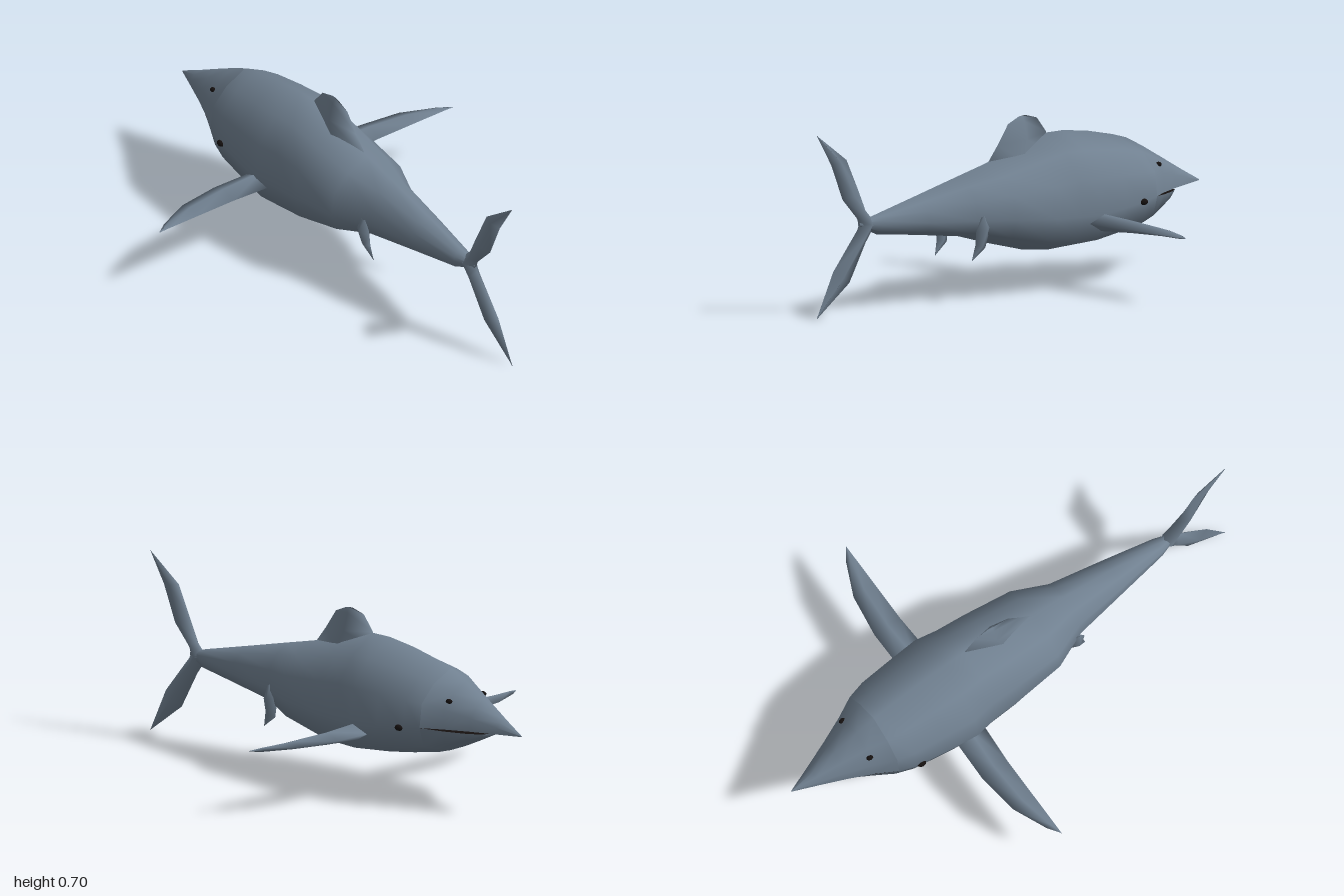
import * as THREE from 'three';

const skin = new THREE.MeshStandardMaterial({ color: 0x708090, side: THREE.DoubleSide });
skin.name = 'slate skin';
const dark = new THREE.MeshStandardMaterial({ color: 0x15100f, side: THREE.DoubleSide });
dark.name = 'dark mouth and eyes';

// Skins a list of cross-sections; faces are turned outward as seen from the first section.
function loft(name, sections, material, closed = true) {
  const n = sections[0].length, span = closed ? n : n - 1;
  const index = [];
  for (let i = 0; i < sections.length - 1; i++) {
    for (let j = 0; j < span; j++) {
      const k = (j + 1) % n;
      const a = i * n + j, b = i * n + k, c = b + n, d = a + n;
      index.push(a, b, c, a, c, d);
    }
  }
  const points = sections.flat().map((p) => new THREE.Vector3(...p));
  const ref = new THREE.Vector3();
  points.slice(0, n).forEach((p) => ref.addScaledVector(p, 1 / n));
  const rel = points.map((p) => p.clone().sub(ref));
  let volume = 0;
  for (let t = 0; t < index.length; t += 3) {
    volume += rel[index[t]].dot(rel[index[t + 1]].clone().cross(rel[index[t + 2]]));
  }
  if (volume < 0) index.reverse();
  const geometry = new THREE.BufferGeometry().setFromPoints(points);
  geometry.setIndex(index);
  geometry.computeVertexNormals();
  const mesh = new THREE.Mesh(geometry, material);
  mesh.name = name;
  return mesh;
}

// Upper and lower halves of a body section, each running across the body.
function back(z, side, top, w) {
  const h = top - side;
  const half = [[w, side], [w * 0.93, side + h * 0.45], [w * 0.54, side + h * 0.78]];
  return [...half.map(([x, y]) => [x, y, z]), [0, top, z],
    ...half.reverse().map(([x, y]) => [-x, y, z])];
}
function belly(z, side, bottom, w) {
  const low = side + (bottom - side) * 0.68;
  return [[-w, side, z], [-w * 0.87, low, z], [0, bottom, z], [w * 0.87, low, z], [w, side, z]];
}

// Diamond-section fin; rows are [leading point, trailing point, half thickness].
function fin(name, rows, axis) {
  return loft(name, rows.map(([a, b, t]) => {
    const mid = a.map((v, i) => (v + b[i]) / 2);
    const up = [...mid], down = [...mid];
    up[axis] += t;
    down[axis] -= t;
    return [a, up, b, down];
  }), skin);
}

export function createModel() {
  const model = new THREE.Group();
  model.name = 'fish';

  // Body: z, bottom, side height, top, half width
  const body = [
    [-0.62, 0.2, 0.313, 0.518, 0.167], [-0.55, 0.18, 0.305, 0.538, 0.187],
    [-0.42, 0.157, 0.29, 0.565, 0.2], [-0.29, 0.138, 0.28, 0.582, 0.211],
    [-0.2, 0.135, 0.28, 0.582, 0.195], [-0.08, 0.148, 0.285, 0.553, 0.189],
    [0.12, 0.197, 0.3, 0.498, 0.17], [0.26, 0.236, 0.305, 0.466, 0.108],
    [0.48, 0.265, 0.318, 0.415, 0.072], [0.69, 0.29, 0.327, 0.367, 0.035],
    [0.78, 0.328, 0.335, 0.345, 0.006],
  ];
  model.add(loft('body', body.map(([z, bottom, side, top, w]) =>
    [...back(z, side, top, w), ...belly(z, side, bottom, w).slice(1, 4)]), skin));

  // Upper jaw: z, lip height, top, half width
  const upper = [
    [-0.62, 0.313, 0.518, 0.167], [-0.7, 0.314, 0.479, 0.124],
    [-0.8, 0.315, 0.425, 0.08], [-0.9, 0.315, 0.37, 0.04], [-1, 0.315, 0.318, 0.001],
  ];
  model.add(loft('upperJaw', upper.map((r) => back(...r)), skin, false));

  // Lower jaw: z, lip height, bottom, half width
  const lower = [
    [-0.62, 0.313, 0.2, 0.167], [-0.7, 0.306, 0.23, 0.122],
    [-0.78, 0.304, 0.265, 0.082], [-0.83, 0.303, 0.288, 0.045], [-0.835, 0.302, 0.301, 0.02],
  ];
  model.add(loft('lowerJaw', lower.map((r) => belly(...r)), skin, false));

  // Dark inner faces of both jaws
  for (const [name, jaw] of [['palate', upper], ['mouthFloor', lower]]) {
    model.add(loft(name, jaw.map(([z, y, , w]) => [[-w, y, z], [w, y, z]]), dark, false));
  }

  // Dorsal fin
  model.add(fin('dorsalFin', [
    [[0, 0.52, -0.205], [0, 0.47, 0.13], 0.045],
    [[0, 0.585, -0.2], [0, 0.56, 0.055], 0.03],
    [[0, 0.645, -0.15], [0, 0.635, 0], 0.012],
    [[0, 0.661, -0.09], [0, 0.658, -0.055], 0.002],
  ], 0));

  // Tail fin lobes
  model.add(fin('upperTailFin', [
    [[0, 0.33, 0.69], [0, 0.33, 0.78], 0.03],
    [[0, 0.385, 0.745], [0, 0.36, 0.79], 0.026],
    [[0, 0.46, 0.78], [0, 0.44, 0.866], 0.022],
    [[0, 0.59, 0.845], [0, 0.578, 0.925], 0.014],
    [[0, 0.698, 1], [0, 0.698, 1], 0.001],
  ], 0));
  model.add(fin('lowerTailFin', [
    [[0, 0.335, 0.69], [0, 0.335, 0.78], 0.03],
    [[0, 0.265, 0.745], [0, 0.315, 0.79], 0.026],
    [[0, 0.12, 0.83], [0, 0.17, 0.915], 0.015],
    [[0, 0, 1], [0, 0, 1], 0.001],
  ], 0));

  // Paired fins, eyes and cheek spots
  for (const [label, s] of [['left', 1], ['right', -1]]) {
    const p = (x, y, z) => [s * x, y, z];
    model.add(fin(label + 'PectoralFin', [
      [p(0.17, 0.25, -0.365), p(0.17, 0.25, -0.24), 0.035],
      [p(0.35, 0.25, -0.368), p(0.35, 0.25, -0.25), 0.024],
      [p(0.52, 0.25, -0.345), p(0.52, 0.25, -0.25), 0.015],
      [p(0.655, 0.25, -0.285), p(0.655, 0.25, -0.25), 0.008],
      [p(0.705, 0.25, -0.25), p(0.705, 0.25, -0.25), 0.001],
    ], 1));
    model.add(fin(label + 'PelvicFin', [
      [p(0.115, 0.328, 0.235), p(0.115, 0.32, 0.25), 0.008],
      [p(0.112, 0.28, 0.2), p(0.112, 0.265, 0.275), 0.025],
      [p(0.105, 0.2, 0.22), p(0.105, 0.215, 0.272), 0.013],
      [p(0.1, 0.155, 0.285), p(0.1, 0.155, 0.285), 0.001],
    ], 0));
    const spots = [['Eye', 0.09, 0.417, -0.7, 0.015], ['CheekSpot', 0.188, 0.303, -0.53, 0.019]];
    for (const [part, x, y, z, r] of spots) {
      const spot = new THREE.Mesh(new THREE.SphereGeometry(r, 8, 6), dark);
      spot.scale.set(0.7, 0.65, 1);
      spot.position.set(s * x, y, z);
      spot.name = label + part;
      model.add(spot);
    }
  }
  return model;
}
